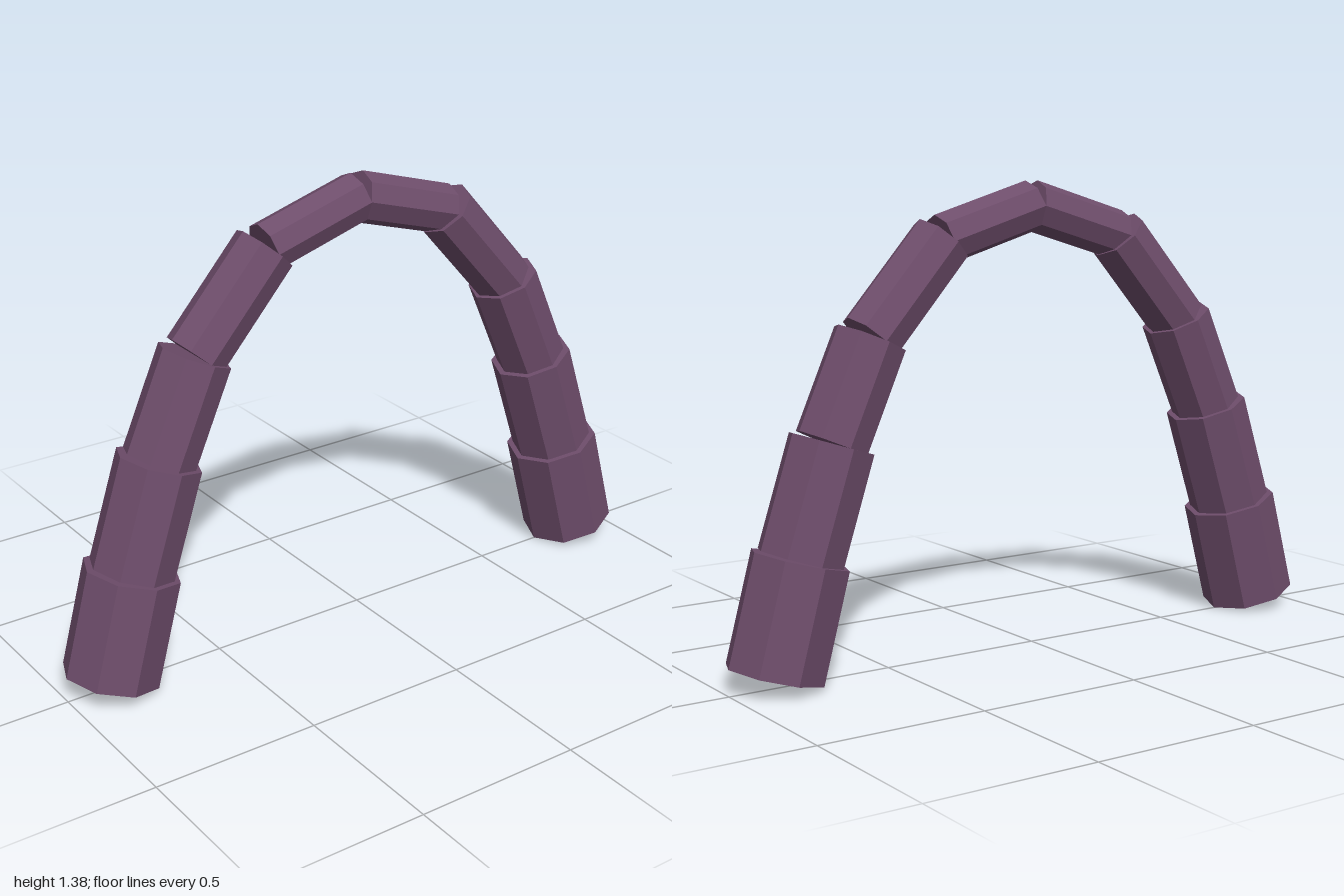
import * as THREE from 'three';

// Octagonal prism running between two joints of the arch
function segment(a, b, radius, material) {
  const dir = new THREE.Vector3().subVectors(b, a);
  const mesh = new THREE.Mesh(new THREE.CylinderGeometry(radius, radius, dir.length(), 8), material);
  mesh.position.addVectors(a, b).multiplyScalar(0.5);
  mesh.rotation.z = Math.atan2(-dir.x, dir.y);
  return mesh;
}

export function createModel() {
  const group = new THREE.Group();
  group.name = 'segmentedArch';
  const stone = new THREE.MeshStandardMaterial({ color: 0x6e4d6b, flatShading: true });
  stone.name = 'dusky purple';

  // Joints from the foot to the crown, and the radius of each block
  const joints = [[0.861, 0.038], [0.776, 0.352], [0.673, 0.667], [0.547, 0.951], [0.312, 1.216], [0, 1.309]];
  const radii = [0.144, 0.126, 0.108, 0.092, 0.075];

  // Both halves of the arch
  for (const [side, name] of [[1, 'left'], [-1, 'right']]) {
    const half = new THREE.Group();
    half.name = name + 'Half';
    const points = joints.map(([x, y]) => new THREE.Vector3(side * x, y, 0));
    radii.forEach((radius, i) => {
      const block = segment(points[i], points[i + 1], radius, stone);
      block.name = `${name}Block${i + 1}`;
      half.add(block);
    });
    group.add(half);
  }
  return group;
}
